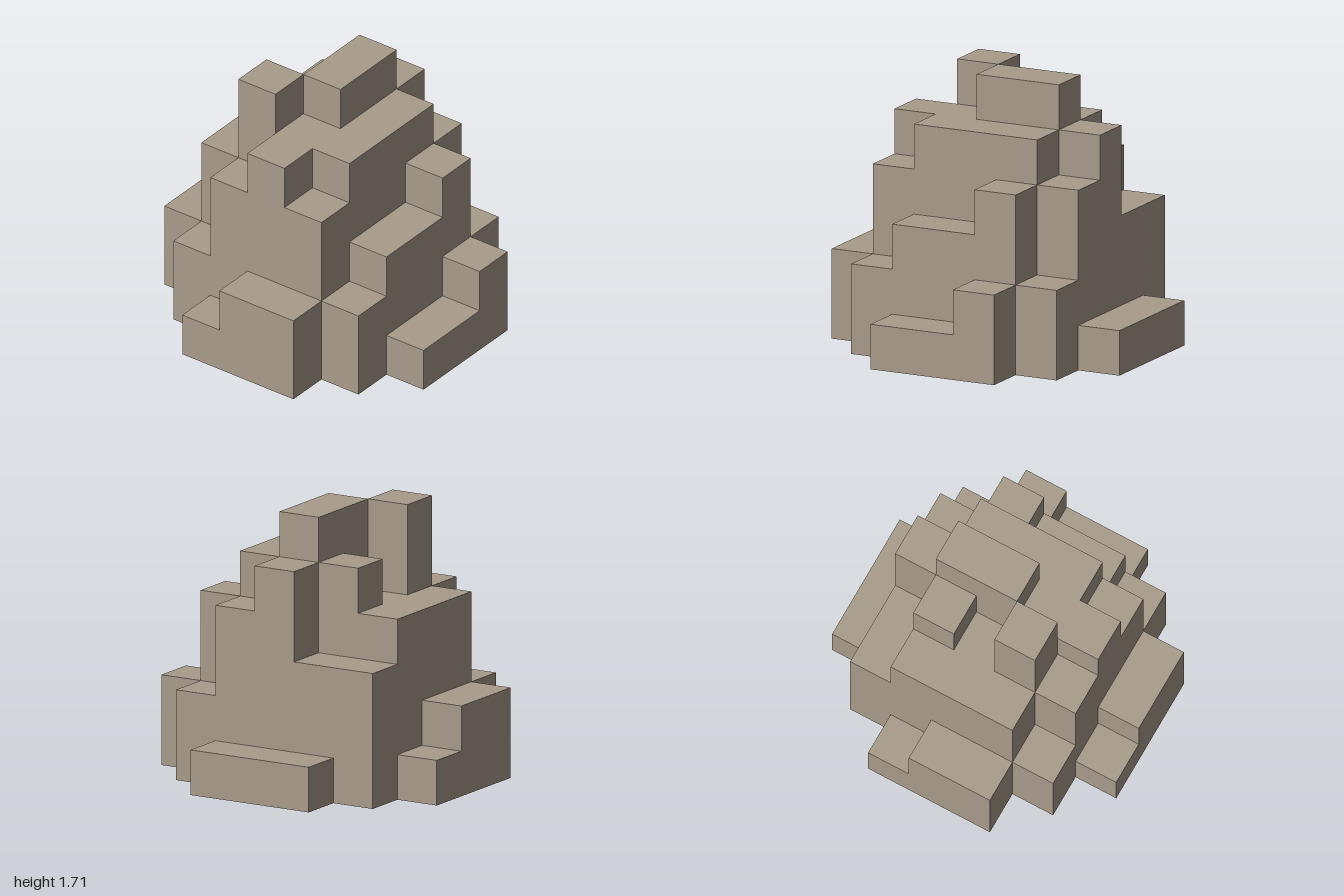
import * as THREE from 'three';
import { mergeGeometries } from 'three/addons/utils/BufferGeometryUtils.js';

// Stepped rock mound: a hollow block shell, open underneath.
const U = 2 / 7; // edge of one block

// Column heights in blocks; rows run back to front, entries run from -x to +x
const HEIGHTS = [
  '0011100',
  '0335420',
  '1456542',
  '2446531',
  '2465531',
  '0245420',
  '0012200',
].map((row) => [...row].map(Number));

const TIER_NAMES = ['baseTier', 'lowerTier', 'middleTier', 'upperTier', 'shoulderTier', 'peakTier'];

const heightAt = (i, k) => HEIGHTS[k]?.[i] ?? 0;

// Side wall directions: neighbour step and turn about y
const SIDES = [
  [0, 1, 0],
  [1, 0, Math.PI / 2],
  [0, -1, Math.PI],
  [-1, 0, -Math.PI / 2],
];

// Square facing outward from the block at column i, row k, layer j
const wall = (i, j, k, turn) =>
  new THREE.PlaneGeometry(U, U)
    .translate(0, 0, U / 2)
    .rotateY(turn)
    .translate((i - 3) * U, (j + 0.5) * U, (k - 3) * U);

const cap = (i, j, k) =>
  new THREE.PlaneGeometry(U, U)
    .rotateX(-Math.PI / 2)
    .translate((i - 3) * U, (j + 1) * U, (k - 3) * U);

// Exposed walls and tops of one layer of blocks
function tierGeometry(j) {
  const faces = [];
  for (let k = 0; k < 7; k++) {
    for (let i = 0; i < 7; i++) {
      const h = heightAt(i, k);
      if (h <= j) continue;
      if (h === j + 1) faces.push(cap(i, j, k));
      for (const [di, dk, turn] of SIDES) {
        if (heightAt(i + di, k + dk) <= j) faces.push(wall(i, j, k, turn));
      }
    }
  }
  return mergeGeometries(faces);
}

export function createModel() {
  const model = new THREE.Group();
  model.name = 'rockMound';
  const stone = new THREE.MeshStandardMaterial({ color: 0xa89b8a, side: THREE.DoubleSide });
  TIER_NAMES.forEach((name, j) => {
    const tier = new THREE.Mesh(tierGeometry(j), stone);
    tier.name = name;
    model.add(tier);
  });
  return model;
}
